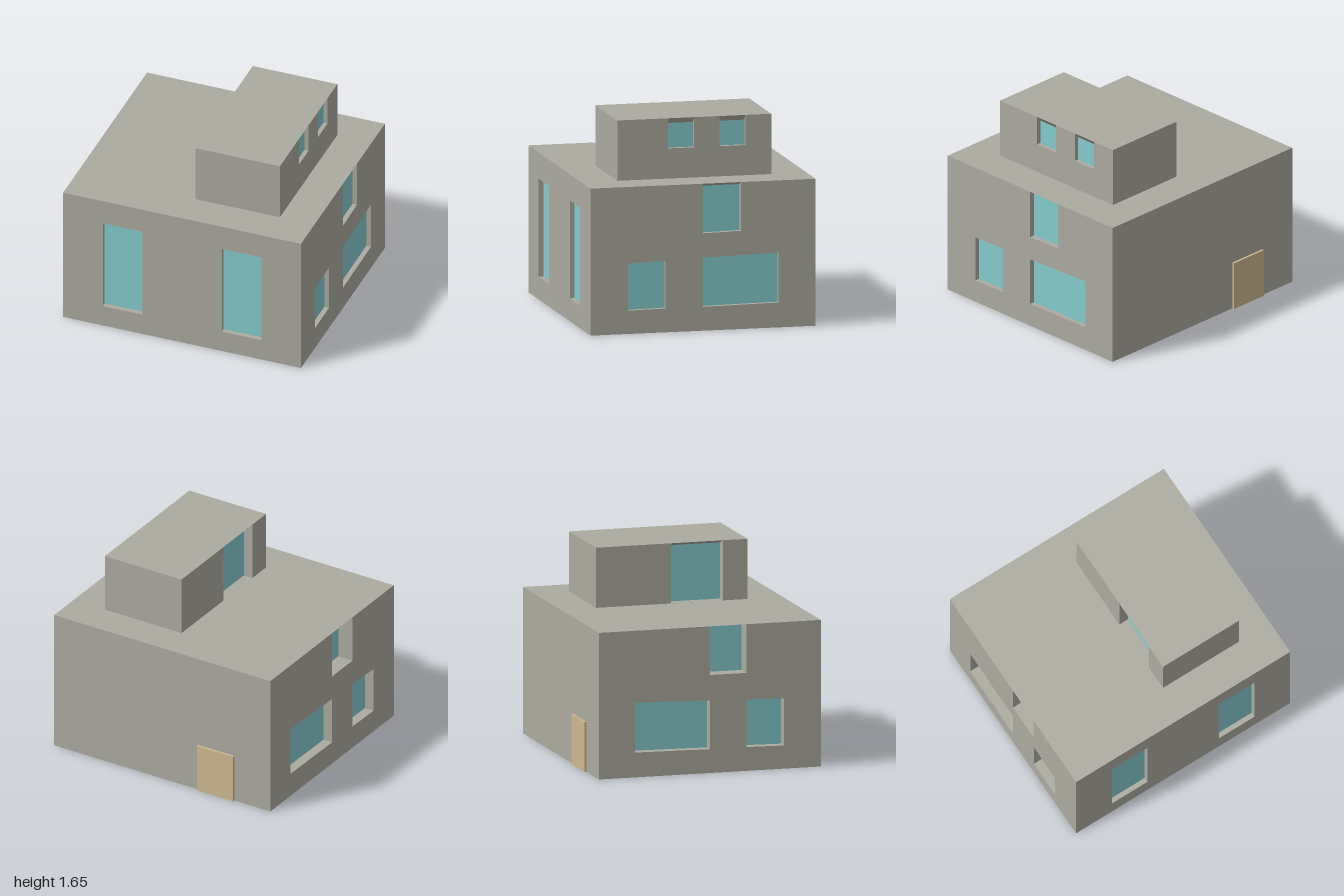
import * as THREE from 'three';

const wall = new THREE.MeshStandardMaterial({ color: 0xacaba1 });
wall.name = 'stone wall';
const glass = new THREE.MeshStandardMaterial({ color: 0x86ccce });
glass.name = 'blue glass';
const wood = new THREE.MeshStandardMaterial({ color: 0xcdb992 });
wood.name = 'tan wood';

function add(parent, name, geometry, material) {
  const mesh = new THREE.Mesh(geometry, material);
  mesh.name = name;
  parent.add(mesh);
  return mesh;
}

// Flat quads, each given as four corners counter-clockwise from the front
function quads(list) {
  const pos = [];
  for (const [a, b, c, d] of list) pos.push(...a, ...b, ...c, ...a, ...c, ...d);
  const g = new THREE.BufferGeometry();
  g.setAttribute('position', new THREE.Float32BufferAttribute(pos, 3));
  g.computeVertexNormals();
  return g;
}

// Rectangular outline from u0 to u1; the heights may differ at the two sides
const rect = (u0, u1, bottom0, top0, bottom1 = bottom0, top1 = top0) =>
  [[u0, bottom0], [u1, bottom1], [u1, top1], [u0, top0]];

// A wall facing local +z, pierced by recessed windows.
// drop lowers the inner top edge so that the soffit slopes.
function facade(name, outline, openings) {
  const group = new THREE.Group();
  group.name = name;
  const toPoints = (c) => c.map(([u, v]) => new THREE.Vector2(u, v));
  const shape = new THREE.Shape(toPoints(outline));
  for (const { corners } of openings) shape.holes.push(new THREE.Path(toPoints(corners)));
  add(group, 'wallPanel', new THREE.ShapeGeometry(shape), wall);

  for (const { corners, depth, drop = 0 } of openings) {
    const outer = corners.map(([u, v]) => [u, v, 0]);
    const inner = corners.map(([u, v], i) => [u, i > 1 ? v - drop : v, -depth]);
    const sides = outer.map((p, i) => {
      const j = (i + 1) % 4;
      return [p, outer[j], inner[j], inner[i]];
    });
    add(group, 'windowReveal', quads(sides), wall);
    add(group, 'windowPane', quads([inner]), glass);
  }
  return group;
}

// Four facades plus top and bottom slabs around a block
function block(name, [x0, x1], [y0, y1], [z0, z1], { front = [], right = [], back = [], left = [] }) {
  const group = new THREE.Group();
  group.name = name;
  const sides = [
    ['frontWall', rect(x0, x1, y0, y1), front, 0, 0, z1],
    ['leftWall', rect(-z1, -z0, y0, y1), left, Math.PI / 2, x1, 0],
    ['backWall', rect(-x1, -x0, y0, y1), back, Math.PI, 0, z0],
    ['rightWall', rect(z0, z1, y0, y1), right, -Math.PI / 2, x0, 0],
  ];
  for (const [label, outline, openings, turn, x, z] of sides) {
    const f = facade(label, outline, openings);
    f.rotation.y = turn;
    f.position.set(x, 0, z);
    group.add(f);
  }
  add(group, 'roof', quads([[[x0, y1, z1], [x1, y1, z1], [x1, y1, z0], [x0, y1, z0]]]), wall);
  add(group, 'floor', quads([[[x0, y0, z0], [x1, y0, z0], [x1, y0, z1], [x0, y0, z1]]]), wall);
  return group;
}

export function createModel() {
  const model = new THREE.Group();
  model.name = 'house';
  const roofY = 1.17, topY = 1.65, gap = 0.0005;

  // Ground block with tall front windows and three windows on each side
  model.add(block('mainBlock', [-1, 1], [0, roofY], [-0.9, 0.92], {
    front: [-0.5, 0.5].map((x) => ({
      corners: rect(x - 0.166, x + 0.166, 0.182, 0.962), depth: 0.04,
    })),
    left: [
      { corners: rect(-0.615, -0.312, 0.185, 0.56, 0.19, 0.57), depth: 0.04 },
      { corners: rect(-0.01, 0.6, 0.19, 0.58, 0.198, 0.597), depth: 0.04 },
      { corners: rect(-0.01, 0.295, 0.775, roofY - gap, 0.782, roofY - gap), depth: 0.04, drop: 0.022 },
    ],
    right: [
      { corners: rect(-0.605, 0.01, 0.198, 0.595, 0.19, 0.58), depth: 0.08 },
      { corners: rect(0.312, 0.62, 0.19, 0.57, 0.185, 0.56), depth: 0.08 },
      { corners: rect(0.01, 0.31, 0.782, roofY - gap), depth: 0.13, drop: 0.022 },
    ],
  }));

  // Upper storey with two small windows and a full-height glazed opening
  model.add(block('upperStorey', [0, 0.71], [roofY, topY], [-0.615, 0.63], {
    left: [-0.115, 0.3].map((u) => ({
      corners: rect(u - 0.105, u + 0.105, 1.41, topY - gap), depth: 0.035, drop: 0.043,
    })),
    right: [{ corners: rect(0, 0.43, roofY + gap, topY - gap), depth: 0.08, drop: 0.03 }],
  }));

  // Back door standing slightly proud of the wall
  const door = add(model, 'backDoor', new THREE.BoxGeometry(0.334, 0.4, 0.018), wood);
  door.position.set(-0.5, 0.2, -0.909);
  return model;
}
